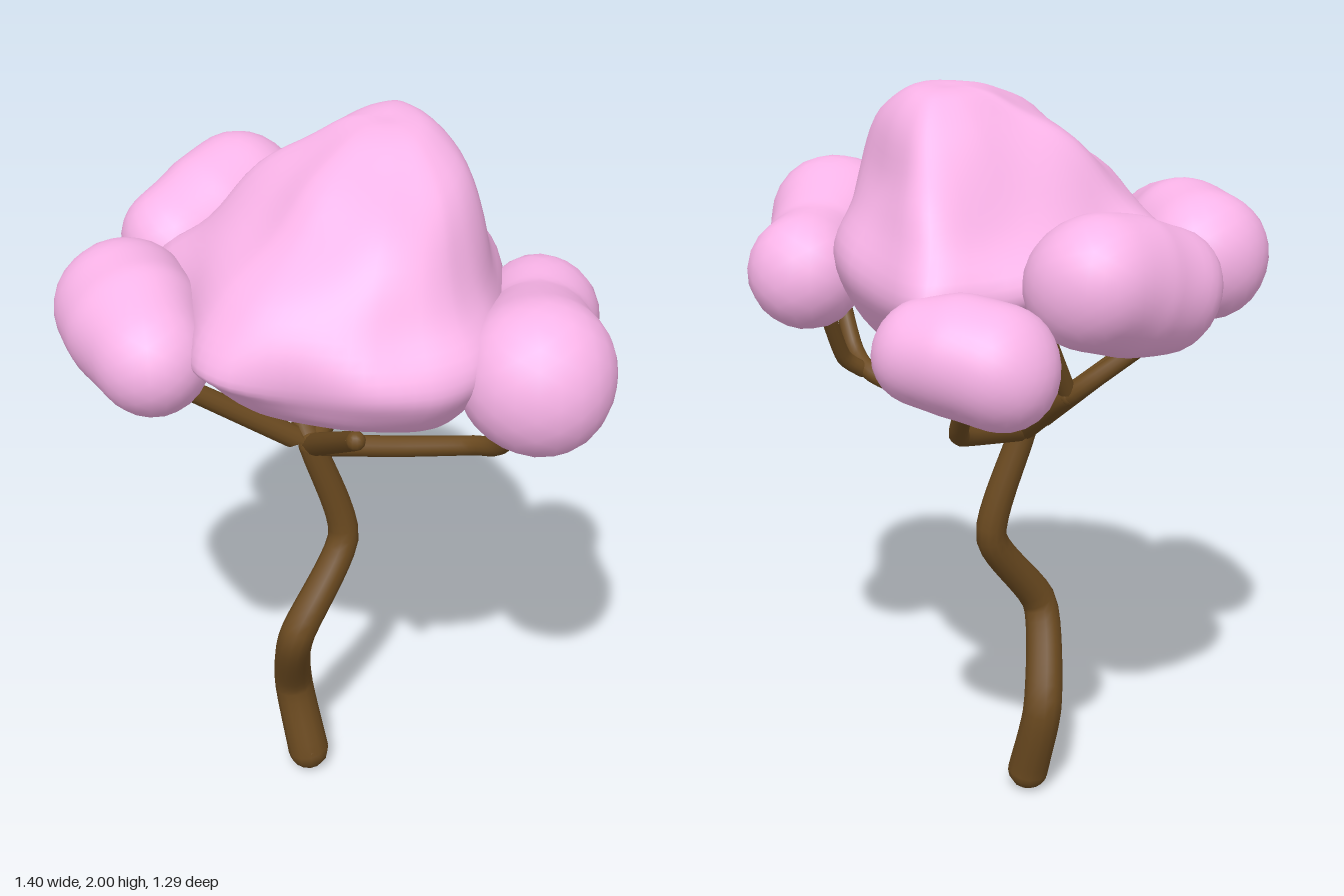
import * as THREE from 'three';
import { mergeVertices } from 'three/addons/utils/BufferGeometryUtils.js';

const V = (p) => new THREE.Vector3(...p);
const bark = new THREE.MeshStandardMaterial({ color: 0x6b4a20 });
const blossom = new THREE.MeshStandardMaterial({ color: 0xfbb5ea });

// Gentle lumps shared by all foliage
const lump = (x, y, z) =>
  Math.sin(13 * x + 5 * z + 1) * Math.sin(12 * y + 2) + Math.sin(14 * z - 6 * x) * Math.cos(11 * y + 4 * x);

// Tapered limb with rounded ends along a list of points
function limb(name, points, r0, r1) {
  const group = new THREE.Group();
  group.name = name;
  const curve = new THREE.CatmullRomCurve3(points.map(V), false, 'catmullrom', 0.35);
  const segs = (points.length - 1) * 8;
  const sides = 12;
  const geo = new THREE.TubeGeometry(curve, segs, 1, sides, false);
  const pos = geo.attributes.position;
  const v = new THREE.Vector3();
  for (let i = 0; i <= segs; i++) {
    const c = curve.getPointAt(i / segs);
    const r = THREE.MathUtils.lerp(r0, r1, i / segs);
    for (let j = 0; j <= sides; j++) {
      const k = i * (sides + 1) + j;
      v.fromBufferAttribute(pos, k).sub(c).multiplyScalar(r).add(c);
      pos.setXYZ(k, v.x, v.y, v.z);
    }
  }
  group.add(new THREE.Mesh(geo, bark));
  for (const [p, r] of [[points[0], r0], [points.at(-1), r1]]) {
    const cap = new THREE.Mesh(new THREE.SphereGeometry(r, 12, 8), bark);
    cap.position.set(...p);
    group.add(cap);
  }
  group.children.forEach((m) => { m.name = name; });
  return group;
}

// Foliage clump: a sphere pushed out to the skin of a ball [x, y, z, radius] swept from one key to the next
function clump(name, keys) {
  const swept = [];
  for (let k = 0; k < keys.length - 1; k++) {
    for (let t = 0; t <= 1; t += 0.125) {
      swept.push(keys[k].map((a, i) => THREE.MathUtils.lerp(a, keys[k + 1][i], t)));
    }
  }
  const first = V(keys[0].slice(0, 3));
  const centre = first.lerp(V(keys.at(-1).slice(0, 3)), 0.5);
  const geo = new THREE.IcosahedronGeometry(1, 7);
  geo.deleteAttribute('normal');
  geo.deleteAttribute('uv');
  const merged = mergeVertices(geo, 1e-4);
  const inside = (p) => swept.some(([x, y, z, r]) =>
    (p.x - x) ** 2 + (p.y - y) ** 2 + (p.z - z) ** 2 < r * r);
  const pos = merged.attributes.position;
  const dir = new THREE.Vector3();
  const p = new THREE.Vector3();
  for (let i = 0; i < pos.count; i++) {
    dir.fromBufferAttribute(pos, i).normalize();
    let lo = 0, hi = 0.6;
    for (let k = 0; k < 18; k++) {
      const mid = (lo + hi) / 2;
      p.copy(centre).addScaledVector(dir, mid);
      if (inside(p)) lo = mid; else hi = mid;
    }
    p.copy(centre).addScaledVector(dir, lo);
    p.addScaledVector(dir, 0.006 * lump(p.x, p.y, p.z));
    pos.setXYZ(i, p.x, p.y, p.z);
  }
  merged.computeVertexNormals();
  const mesh = new THREE.Mesh(merged, blossom);
  mesh.name = name;
  return mesh;
}

// Main crown: a plan outline swept up a profile of [height, scale, z shift], leaning to +x at the peak
function crown() {
  const outline = new THREE.CatmullRomCurve3([
    [0.41, 0.22], [0.4, 0.38], [0.34, 0.47], [0.2, 0.55], [0.05, 0.58], [-0.12, 0.6],
    [-0.24, 0.54], [-0.36, 0.36], [-0.5, 0.12], [-0.45, -0.03], [-0.33, -0.3],
    [-0.2, -0.46], [-0.12, -0.51], [-0.03, -0.48], [0.15, -0.34], [0.3, -0.16], [0.38, 0.03],
  ].map(([x, z]) => new THREE.Vector3(x, 0, z)), true, 'catmullrom', 0.4);
  const profile = new THREE.CatmullRomCurve3([
    [1.345, 0, 0.04], [1.335, 0.35, 0.04], [1.335, 0.62, 0.04], [1.385, 0.84, 0.03], [1.49, 0.97, 0.01],
    [1.6, 0.99, 0], [1.7, 0.85, 0.01], [1.8, 0.69, 0], [1.91, 0.49, -0.04], [1.975, 0.29, -0.07],
    [1.995, 0.14, -0.08], [1.998, 0, -0.08],
  ].map(V), false, 'catmullrom', 0.5);
  const n = 72, rows = 44;
  const verts = [], index = [];
  for (let j = 0; j <= rows; j++) {
    const { x: y, y: s, z: shift } = profile.getPoint(j / rows);
    const cx = -0.04 + 0.075 * THREE.MathUtils.smoothstep(y, 1.6, 1.98);
    const cz = 0.05 + shift;
    const under = 1 - THREE.MathUtils.smoothstep(y, 1.36, 1.6);
    for (let i = 0; i < n; i++) {
      const o = outline.getPoint(i / n);
      const dx = (o.x + 0.04) * s, dz = (o.z - 0.05) * s;
      const w = 0.026 * lump(cx + dx, y, cz + dz) * Math.min(1, s * 2);
      // Underside bowls upwards away from its lowest point
      const bowl = 0.28 * under * ((cx + dx - 0.18) ** 2 + (cz + dz) ** 2);
      verts.push(cx + dx * (1 + w), y + w * 0.4 + bowl, cz + dz * (1 + w));
      if (j < rows) {
        const a = j * n + i, b = j * n + (i + 1) % n;
        index.push(a, a + n, b, b, a + n, b + n);
      }
    }
  }
  const geo = new THREE.BufferGeometry();
  geo.setAttribute('position', new THREE.Float32BufferAttribute(verts, 3));
  geo.setIndex(index);
  const merged = mergeVertices(geo, 1e-4);
  merged.computeVertexNormals();
  const mesh = new THREE.Mesh(merged, blossom);
  mesh.name = 'mainCrown';
  return mesh;
}

export function createModel() {
  const model = new THREE.Group();
  model.name = 'blossomTree';

  // Winding trunk
  model.add(limb('trunk', [
    [-0.16, 0.062, 0.07], [-0.21, 0.29, 0.05], [-0.15, 0.54, 0.16], [-0.07, 0.79, 0.005], [-0.14, 1.09, 0.05],
  ], 0.058, 0.036));

  // Branches fanning out from the top of the trunk
  const fork = [-0.14, 1.09, 0.05];
  const leftKnee = [0.34, 1.19, 0.05];
  const rightKnee = [-0.35, 1.28, -0.15];
  model.add(
    limb('leftSideBranch', [fork, [0.1, 1.135, 0.05], [0.3, 1.18, 0.05], [0.39, 1.23, 0.1], [0.5, 1.42, 0.2]], 0.03, 0.022),
    limb('leftSideTwig', [leftKnee, [0.37, 1.24, 0], [0.37, 1.42, -0.1]], 0.022, 0.02),
    limb('frontBranch', [fork, [0.14, 1.4, 0.47]], 0.032, 0.024),
    limb('frontRightBranch', [fork, [-0.52, 1.42, 0.34]], 0.032, 0.024),
    limb('backRightBranch', [fork, rightKnee, [-0.53, 1.43, -0.09]], 0.03, 0.022),
    limb('backRightTwig', [rightKnee, [-0.33, 1.48, -0.26]], 0.024, 0.02),
    limb('backBranch', [fork, [-0.12, 1.175, -0.26], [-0.13, 1.21, -0.32], [-0.21, 1.36, -0.43]], 0.03, 0.022),
  );

  // Foliage
  model.add(
    crown(),
    clump('leftSideClump', [[0.515, 1.53, 0.25, 0.19], [0.435, 1.51, 0.02, 0.14], [0.41, 1.495, -0.11, 0.15]]),
    clump('frontRightClump', [[-0.53, 1.555, 0.3, 0.17], [-0.45, 1.55, 0.385, 0.172], [-0.365, 1.54, 0.49, 0.145]]),
    clump('backRightClump', [[-0.46, 1.62, -0.275, 0.165], [-0.5, 1.59, -0.18, 0.172], [-0.55, 1.56, -0.07, 0.155]]),
    clump('backClump', [[-0.31, 1.455, -0.49, 0.15], [-0.22, 1.465, -0.49, 0.15], [-0.135, 1.47, -0.5, 0.13]]),
  );
  return model;
}
